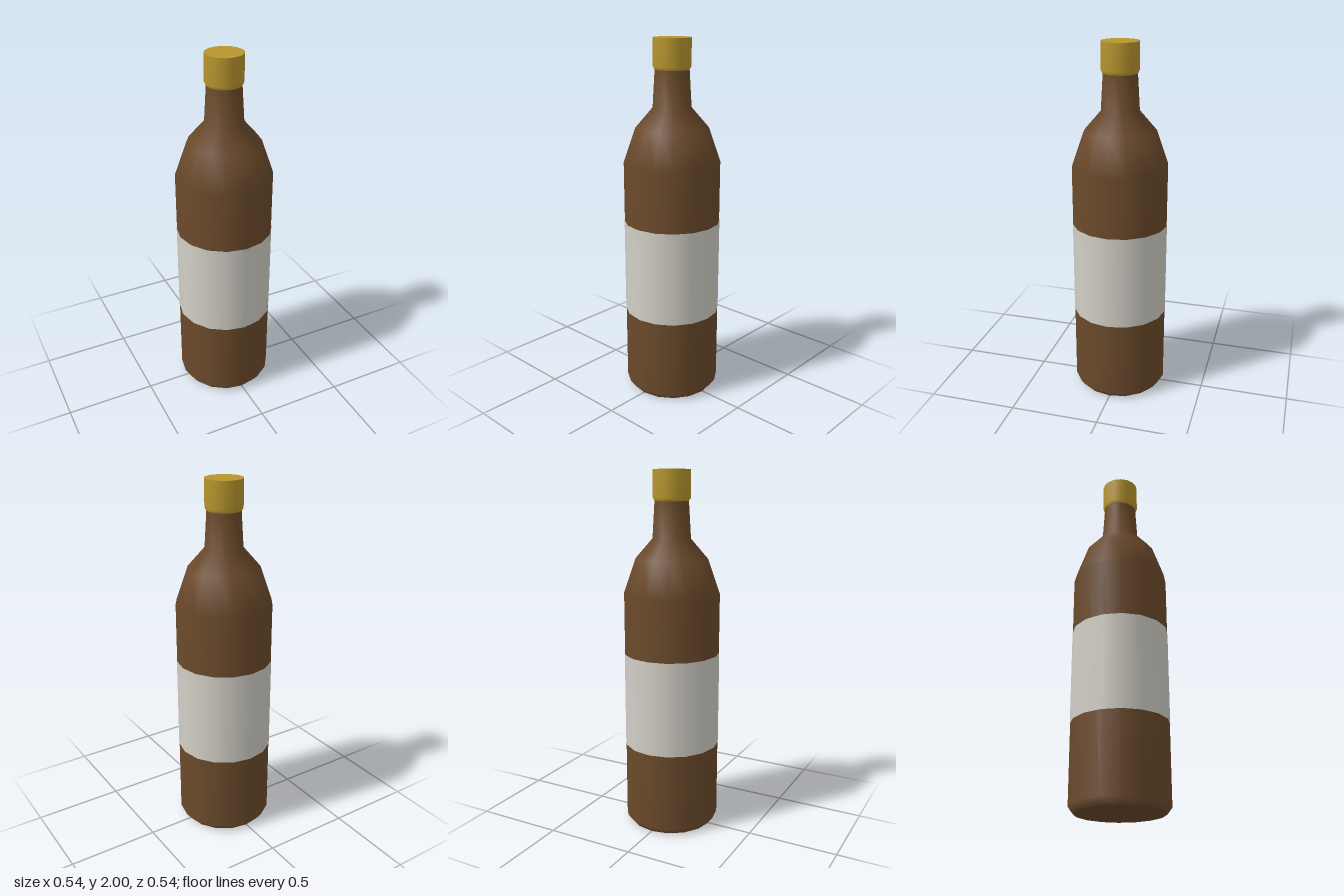
import * as THREE from 'three';

const SIDES = 16;

export function createModel() {
  const bottle = new THREE.Group();
  bottle.name = 'bottle';
  const glass = new THREE.MeshStandardMaterial({ color: 0x6b4a2b });
  const paper = new THREE.MeshStandardMaterial({ color: 0xd2cfc6, side: THREE.DoubleSide });
  const gold = new THREE.MeshStandardMaterial({ color: 0xb8962e });

  const add = (name, geometry, material, y = 0) => {
    const mesh = new THREE.Mesh(geometry, material);
    mesh.name = name;
    mesh.position.y = y;
    bottle.add(mesh);
    return mesh;
  };
  // Profiles are [radius, height] pairs, turned around the y axis
  const lathe = (points) =>
    new THREE.LatheGeometry(points.map(([r, y]) => new THREE.Vector2(r, y)), SIDES);

  // Body with chamfered foot, straight wall, shoulder and tapering neck
  add('body', lathe([
    [0.24, 0], [0.266, 0.035], [0.266, 1.335], [0.2, 1.525],
    [0.105, 1.635], [0.092, 1.85],
  ]), glass);

  // Flat underside
  add('base', new THREE.CircleGeometry(0.24, SIDES), glass).rotation.x = Math.PI / 2;

  // Paper band wrapped just outside the wall
  add('label', new THREE.CylinderGeometry(0.268, 0.268, 0.53, SIDES, 1, true), paper, 0.737);

  // Cap: wall with a slightly tucked lower rim, underside and flat top
  add('capWall', lathe([[0.094, 1.835], [0.103, 1.852], [0.103, 2]]), gold);
  add('capTop', new THREE.CircleGeometry(0.103, SIDES), gold, 2).rotation.x = -Math.PI / 2;
  add('capUnderside', new THREE.CircleGeometry(0.094, SIDES), gold, 1.835).rotation.x = Math.PI / 2;

  return bottle;
}
